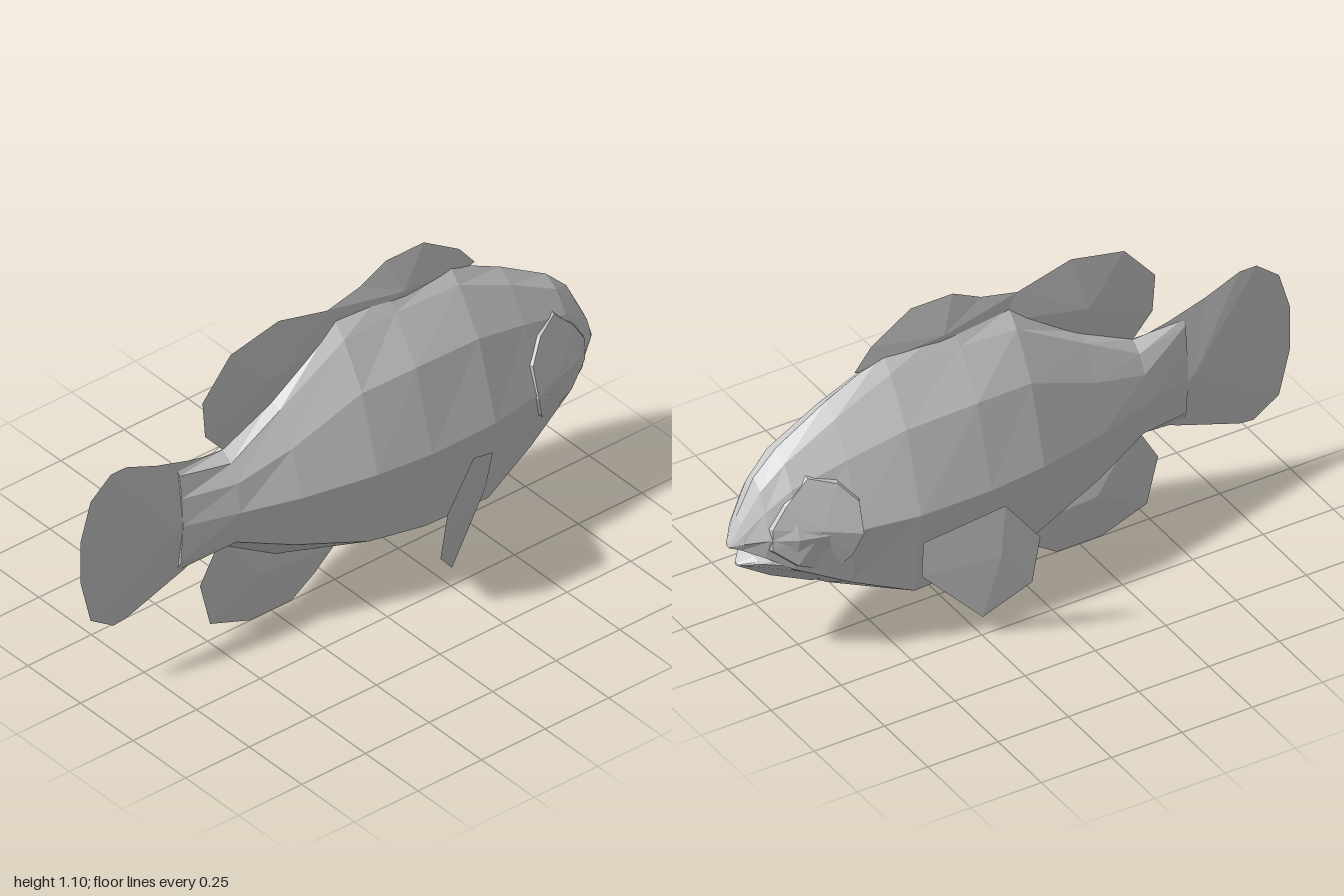
import * as THREE from 'three';

const skin = new THREE.MeshStandardMaterial({ color: 0xcccccc });
skin.name = 'paleGrey';
skin.flatShading = true;
skin.side = THREE.DoubleSide;

// Half cross-sections from tail root to nose:
// z, top y, [crest x, y], [shoulder x, y], [flank x, y], [belly edge x, y], bottom y
const bodySections = [
  [0.62, 0.70, [0.012, 0.68], [0.022, 0.6], [0.028, 0.5], [0.018, 0.36], 0.32],
  [0.44, 0.69, [0.04, 0.66], [0.07, 0.6], [0.085, 0.5], [0.065, 0.38], 0.33],
  [0.25, 0.79, [0.04, 0.77], [0.10, 0.66], [0.145, 0.5], [0.115, 0.31], 0.21],
  [0.0, 0.97, [0.045, 0.92], [0.13, 0.77], [0.205, 0.505], [0.165, 0.235], 0.125],
  [-0.2, 1.0, [0.045, 0.93], [0.145, 0.78], [0.222, 0.5], [0.185, 0.21], 0.12],
  [-0.45, 0.97, [0.045, 0.92], [0.14, 0.77], [0.222, 0.5], [0.185, 0.2], 0.115],
  [-0.65, 0.87, [0.05, 0.83], [0.12, 0.72], [0.19, 0.5], [0.15, 0.285], 0.195],
  [-0.83, 0.76, [0.05, 0.73], [0.095, 0.66], [0.14, 0.5], [0.11, 0.375], 0.31],
  [-0.91, 0.68, [0.04, 0.65], [0.07, 0.59], [0.095, 0.5], [0.075, 0.425], 0.425],
  [-0.97, 0.56, [0.025, 0.54], [0.04, 0.51], [0.045, 0.48], [0.03, 0.45], 0.45],
  [-1.0, 0.47, [0.006, 0.47], [0.01, 0.465], [0.012, 0.46], [0.006, 0.455], 0.455],
];

const jawSections = [
  [-0.7, 0.42, [0.09, 0.4], [0.12, 0.37], [0.13, 0.34], [0.12, 0.31], 0.22],
  [-0.85, 0.42, [0.06, 0.42], [0.095, 0.41], [0.1, 0.39], [0.09, 0.37], 0.295],
  [-0.925, 0.41, [0.03, 0.41], [0.055, 0.405], [0.06, 0.4], [0.05, 0.385], 0.345],
  [-0.97, 0.385, [0.004, 0.385], [0.008, 0.383], [0.01, 0.38], [0.006, 0.378], 0.375],
];

function facets(name, triangles) {
  const geometry = new THREE.BufferGeometry();
  geometry.setAttribute('position', new THREE.Float32BufferAttribute(triangles.flat(2), 3));
  geometry.computeVertexNormals();
  const mesh = new THREE.Mesh(geometry, skin);
  mesh.name = name;
  return mesh;
}

// Mirrored loft through the half sections, capped at both ends
function loft(name, sections) {
  const rings = sections.map(([z, top, ...rest]) => {
    const bottom = rest.pop();
    const right = rest.map(([x, y]) => [x, y, z]);
    const left = rest.map(([x, y]) => [-x, y, z]).reverse();
    return [[0, top, z], ...right, [0, bottom, z], ...left];
  });
  const tris = [];
  const n = rings[0].length;
  for (let i = 0; i < rings.length - 1; i++) {
    for (let j = 0; j < n; j++) {
      const k = (j + 1) % n;
      const a = rings[i][j], b = rings[i][k], c = rings[i + 1][j], d = rings[i + 1][k];
      tris.push([a, b, c], [b, d, c]);
    }
  }
  const first = rings[0], last = rings[rings.length - 1];
  for (let j = 1; j < n - 1; j++) {
    tris.push([first[0], first[j + 1], first[j]], [last[0], last[j], last[j + 1]]);
  }
  return facets(name, tris);
}

// Fin with a thin edge that swells to a ridge at its centre
function fin(name, outline, centre, thickness) {
  const front = [centre[0] + thickness, centre[1], centre[2]];
  const back = [centre[0] - thickness, centre[1], centre[2]];
  const tris = [];
  outline.forEach((p, i) => {
    const q = outline[(i + 1) % outline.length];
    tris.push([p, q, front], [q, p, back]);
  });
  return facets(name, tris);
}

// Upright fin on the centre line, outlined as [z, y]
const middleFin = (name, outline, [z, y], thickness) =>
  fin(name, outline.map((p) => [0, p[1], p[0]]), [0, y, z], thickness);

// Half width of the body at a given z and y
function halfWidth(z, y) {
  const widthIn = ([, top, ...rest]) => {
    const bottom = rest.pop();
    const pts = [[0, top], ...rest, [0, bottom]];
    for (let i = 0; i < pts.length - 1; i++) {
      const [x0, y0] = pts[i], [x1, y1] = pts[i + 1];
      if (y <= y0 && y >= y1 && y0 > y1) return x0 + (x1 - x0) * (y0 - y) / (y0 - y1);
    }
    return 0;
  };
  const i = Math.max(1, bodySections.findIndex((s) => s[0] <= z));
  const a = bodySections[i - 1], b = bodySections[i];
  return THREE.MathUtils.lerp(widthIn(a), widthIn(b), (a[0] - z) / (a[0] - b[0]));
}

// Raised cheek and gill cover that follows the head
function cheek(name, side) {
  const outline = [[-0.78, 0.7], [-0.69, 0.67], [-0.63, 0.6], [-0.63, 0.49], [-0.66, 0.4],
    [-0.71, 0.33], [-0.83, 0.39], [-0.91, 0.46], [-0.91, 0.54], [-0.86, 0.62]];
  const centre = [-0.76, 0.52];
  const at = (t, lift) => outline.map(([z, y]) => {
    const pz = THREE.MathUtils.lerp(centre[0], z, t), py = THREE.MathUtils.lerp(centre[1], y, t);
    return [side * (halfWidth(pz, py) + lift), py, pz];
  });
  const rim = at(1, -0.006), lip = at(0.94, 0.01);
  const hub = [side * (halfWidth(...centre) + 0.006), centre[1], centre[0]];
  const tris = [];
  rim.forEach((p, i) => {
    const k = (i + 1) % rim.length;
    tris.push([p, rim[k], lip[i]], [rim[k], lip[k], lip[i]], [lip[i], lip[k], hub]);
  });
  return facets(name, side > 0 ? tris : tris.map((t) => t.reverse()));
}

export function createModel() {
  const fish = new THREE.Group();
  fish.name = 'fish';
  fish.add(loft('body', bodySections), loft('lowerJaw', jawSections));

  // Fins on the centre line
  fish.add(
    middleFin('frontDorsalFin', [[-0.55, 0.935], [-0.49, 1.01], [-0.35, 1.1], [-0.2, 1.1],
      [-0.1, 1.05], [0.03, 1.02], [0, 0.88], [-0.3, 0.85]], [-0.25, 0.98], 0.03),
    middleFin('rearDorsalFin', [[-0.1, 0.95], [0.03, 1.02], [0.22, 1.07], [0.41, 1.03], [0.52, 0.9],
      [0.51, 0.77], [0.44, 0.69], [0.25, 0.74], [0, 0.88]], [0.27, 0.88], 0.022),
    middleFin('tailFin', [[0.48, 0.69], [0.57, 0.71], [0.7, 0.75], [0.82, 0.8], [0.88, 0.8],
      [0.96, 0.735], [1, 0.6], [1, 0.45], [0.96, 0.29], [0.87, 0.23], [0.82, 0.235],
      [0.6, 0.31], [0.48, 0.36]], [0.64, 0.5], 0.03),
    middleFin('analFin', [[0, 0.13], [0.2, 0.26], [0.45, 0.36], [0.53, 0.22], [0.49, 0.06],
      [0.33, 0], [0.17, 0], [0.08, 0.06]], [0.3, 0.17], 0.022),
  );

  // Paired side fins and cheeks
  const pectoral = [[0.37, 0.55, -0.24], [0.385, 0.4, -0.125], [0.345, 0.21, -0.13],
    [0.255, 0.07, -0.25], [0.195, 0.25, -0.43], [0.22, 0.395, -0.44]];
  for (const [label, side] of [['left', 1], ['right', -1]]) {
    const outline = pectoral.map(([x, y, z]) => [side * x, y, z]);
    if (side < 0) outline.reverse();
    if (side < 0) outline.forEach((p, i) => { outline[i] = [...p]; });
    const paddle = fin(label + 'PectoralFin', side > 0 ? outline : outline.reverse(),
      [side * 0.315, 0.33, -0.23], 0.015);
    fish.add(paddle, cheek(label + 'Cheek', side));
  }
  return fish;
}
